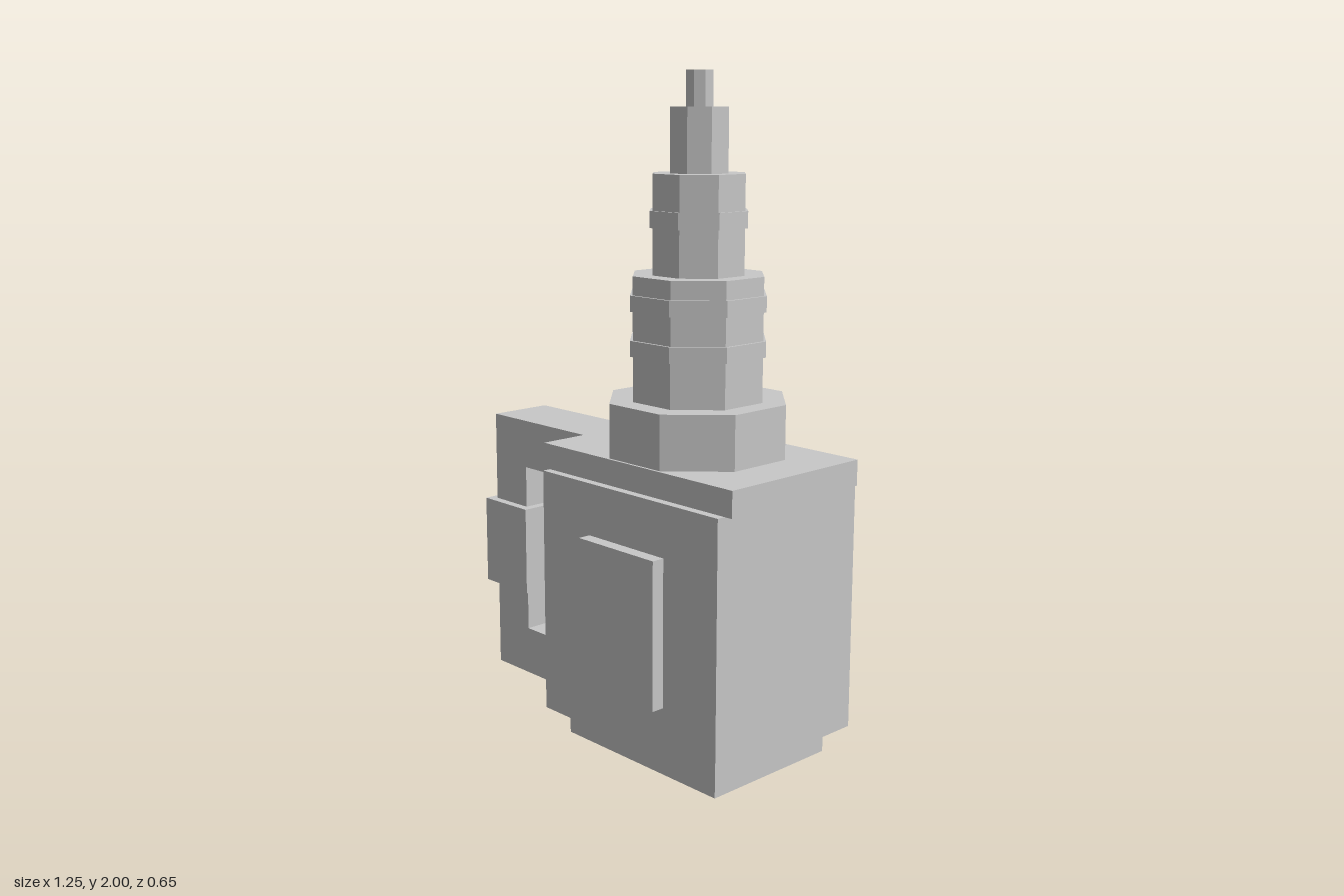
import * as THREE from 'three';

export function createModel() {
  const group = new THREE.Group();
  const grey = new THREE.MeshStandardMaterial({ color: 0xc8c8c8, flatShading: true });
  grey.name = 'lightGrey';

  const add = (name, geometry) => {
    const mesh = new THREE.Mesh(geometry, grey);
    mesh.name = name;
    group.add(mesh);
    return mesh;
  };

  // Box from its x and y ranges and half depth, centred on z = 0
  const block = (name, x0, x1, y0, y1, halfZ) =>
    add(name, new THREE.BoxGeometry(x1 - x0, y1 - y0, 2 * halfZ))
      .position.set((x0 + x1) / 2, (y0 + y1) / 2, 0);

  // Housing
  block('base', -0.08, 0.543, 0, 0.081, 0.231);
  block('body', -0.131, 0.596, 0.081, 0.833, 0.285);
  block('topPlate', -0.157, 0.623, 0.833, 0.91, 0.259);

  // Raised panels on the front and back
  for (const side of [1, -1]) {
    const panel = add(side > 0 ? 'frontPanel' : 'backPanel', new THREE.BoxGeometry(0.311, 0.44, 0.04));
    panel.position.set(0.233, 0.457, side * 0.305);
  }

  // C-shaped handle, open towards the body
  const outline = [
    [-0.131, 0.056], [-0.131, 0.21], [-0.443, 0.21], [-0.443, 0.757],
    [-0.131, 0.757], [-0.131, 0.91], [-0.597, 0.91], [-0.597, 0.056],
  ].map(([x, y]) => new THREE.Vector2(x, y));
  const handle = new THREE.ExtrudeGeometry(new THREE.Shape(outline), { depth: 0.206, bevelEnabled: false });
  handle.translate(0, 0, -0.103);
  add('handle', handle);
  block('grip', -0.623, -0.415, 0.343, 0.625, 0.13);

  // Stepped octagonal tower: name, half width across flats, bottom, top
  const tiers = [
    ['towerCollar', 0.251, 0.91, 1.07],
    ['towerLower', 0.185, 1.07, 1.431],
    ['lowerRing', 0.193, 1.202, 1.248],
    ['upperRing', 0.193, 1.331, 1.377],
    ['towerMiddle', 0.13, 1.431, 1.716],
    ['middleRing', 0.138, 1.565, 1.613],
    ['towerUpper', 0.082, 1.716, 1.9],
    ['towerTip', 0.038, 1.9, 2],
  ];
  for (const [name, flat, y0, y1] of tiers) {
    const r = flat / Math.cos(Math.PI / 8);
    const tier = new THREE.CylinderGeometry(r, r, y1 - y0, 8);
    tier.rotateY(Math.PI / 8);
    add(name, tier).position.set(0.233, (y0 + y1) / 2, 0);
  }

  return group;
}
